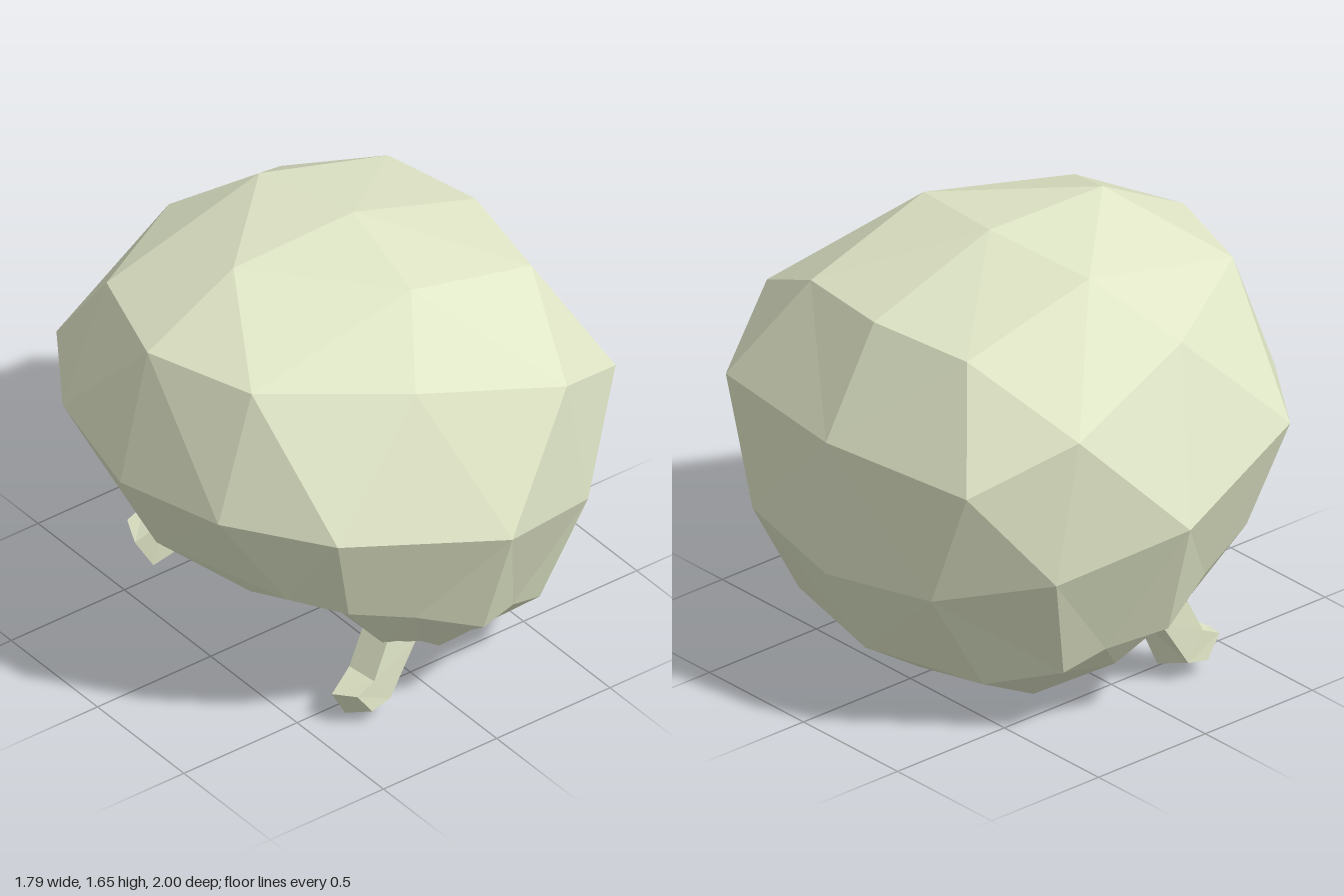
import * as THREE from 'three';

const V = (x, y, z) => new THREE.Vector3(x, y, z);

// Half-outline rows of the shell, from the brow (-x) round to the nape (+x).
const ROWS = [
  // hem
  [[-0.74, 0.6, 0], [-0.58, 0.51, 0.335], [-0.33, 0.42, 0.46], [-0.23, 0.31, 0.64],
    [-0.08, 0.265, 0.665], [0.06, 0.14, 0.59], [0.33, 0.06, 0.46], [0.455, 0.03, 0]],
  // lower row, with the notch over the ear
  [[-0.74, 0.6, 0], [-0.59, 0.61, 0.565], [-0.44, 0.57, 0.72], [-0.19, 0.48, 0.78],
    [0.05, 0.38, 0.86], [0.255, 0.33, 0.76], [0.41, 0.27, 0.712], [0.59, 0.2, 0.49], [0.71, 0.195, 0]],
  // widest row
  [[-0.9, 0.93, 0], [-0.81, 0.965, 0.45], [-0.56, 0.965, 0.815], [0.07, 0.83, 1],
    [0.54, 0.7, 0.822], [0.82, 0.6, 0.475], [0.895, 0.55, 0]],
  // upper row
  [[-0.78, 1.44, 0], [-0.64, 1.44, 0.42], [-0.14, 1.39, 0.715], [0.44, 1.235, 0.83],
    [0.8, 1.06, 0.64], [0.895, 1.07, 0]],
  // crown
  [[-0.4, 1.64, 0], [0.05, 1.6, 0.44], [0.6, 1.45, 0.415], [0.67, 1.47, 0]],
  // centre ridge
  [[-0.4, 1.64, 0], [0.13, 1.65, 0], [0.67, 1.47, 0]],
].map((row) => row.map((p) => V(...p)));

// Fill the band between two rows with triangles, always taking the shorter diagonal.
function zip(lower, upper) {
  const tris = [];
  let i = 0, j = 0;
  while (i < lower.length - 1 || j < upper.length - 1) {
    const a = lower[i], b = upper[j], nextA = lower[i + 1], nextB = upper[j + 1];
    const useLower = !nextB || (nextA && nextA.distanceTo(b) < nextB.distanceTo(a));
    const tri = useLower ? [a, nextA, b] : [a, nextB, b];
    if (new THREE.Triangle(...tri).getArea() > 1e-5) tris.push(tri);
    if (useLower) i++; else j++;
  }
  return tris;
}

// Turn each triangle to face along a rough outward direction and make a geometry.
function facets(tris, outwardAt) {
  const points = [];
  for (const [a, b, c] of tris) {
    const t = new THREE.Triangle(a, b, c);
    const out = outwardAt(t.getMidpoint(V()));
    const flip = t.getNormal(V()).dot(out) < 0;
    points.push(a, ...(flip ? [c, b] : [b, c]));
  }
  const geometry = new THREE.BufferGeometry().setFromPoints(points);
  geometry.computeVertexNormals();
  return geometry;
}

// Add the far half of a set of triangles.
const bothHalves = (tris) => [...tris, ...tris.map((tri) => tri.map((p) => V(p.x, p.y, -p.z)))];

// Bent, tapering lock: inner front, inner back, outer back, outer front per section.
function lockGeometry(side) {
  const sections = [
    [[-0.235, 0.31, 0.53], [-0.08, 0.265, 0.53], [-0.09, 0.275, 0.655], [-0.22, 0.315, 0.655]],
    [[-0.3, 0.18, 0.54], [-0.175, 0.04, 0.545], [-0.215, 0.075, 0.665], [-0.285, 0.18, 0.665]],
    [[-0.4, 0.12, 0.57], [-0.33, 0.0, 0.555], [-0.3, 0.06, 0.672], [-0.36, 0.145, 0.667]],
  ].map((section) => section.map(([x, y, z]) => V(x, y, z * side)));
  const tris = [];
  const quad = (a, b, c, d) => tris.push([a, b, c], [a, c, d]);
  for (let s = 0; s < 2; s++) {
    for (let k = 0; k < 4; k++) {
      const n = (k + 1) % 4, p = sections[s], q = sections[s + 1];
      quad(p[k], p[n], q[n], q[k]);
    }
  }
  quad(...sections[2]);
  // Outward is measured from the middle line of the lock.
  const middles = sections.map((s) => s.reduce((sum, p) => sum.add(p), V(0, 0, 0)).multiplyScalar(0.25));
  const samples = new THREE.CatmullRomCurve3(middles, false, 'catmullrom', 0.1).getPoints(20);
  return facets(tris, (m) => m.clone().sub(samples.reduce((best, p) =>
    (p.distanceTo(m) < best.distanceTo(m) ? p : best))));
}

export function createModel() {
  const group = new THREE.Group();
  group.name = 'hairCap';
  const paleSage = new THREE.MeshStandardMaterial({
    color: 0xdfe5c6, flatShading: true, side: THREE.DoubleSide,
  });
  paleSage.name = 'paleSage';
  const add = (name, geometry) => {
    const mesh = new THREE.Mesh(geometry, paleSage);
    mesh.name = name;
    group.add(mesh);
  };

  // Faceted shell
  const half = ROWS.slice(1).flatMap((row, i) => zip(ROWS[i], row));
  const centre = V(0, 0.8, 0);
  add('shell', facets(bothHalves(half), (m) => m.sub(centre)));

  // Hollow inside: steep walls from the hem, then a flatter roof
  const wallTop = ROWS[0].map((p) => p.clone().lerp(V(0.06, 1.25, 0), 0.45));
  const hollow = [...zip(ROWS[0], wallTop), ...zip(wallTop, [V(0, 1.05, 0)])];
  add('hollow', facets(bothHalves(hollow), (m) => V(-m.x, -0.5, -m.z)));

  // Side locks in front of the ears
  add('frontSideLock', lockGeometry(1));
  add('backSideLock', lockGeometry(-1));
  return group;
}
